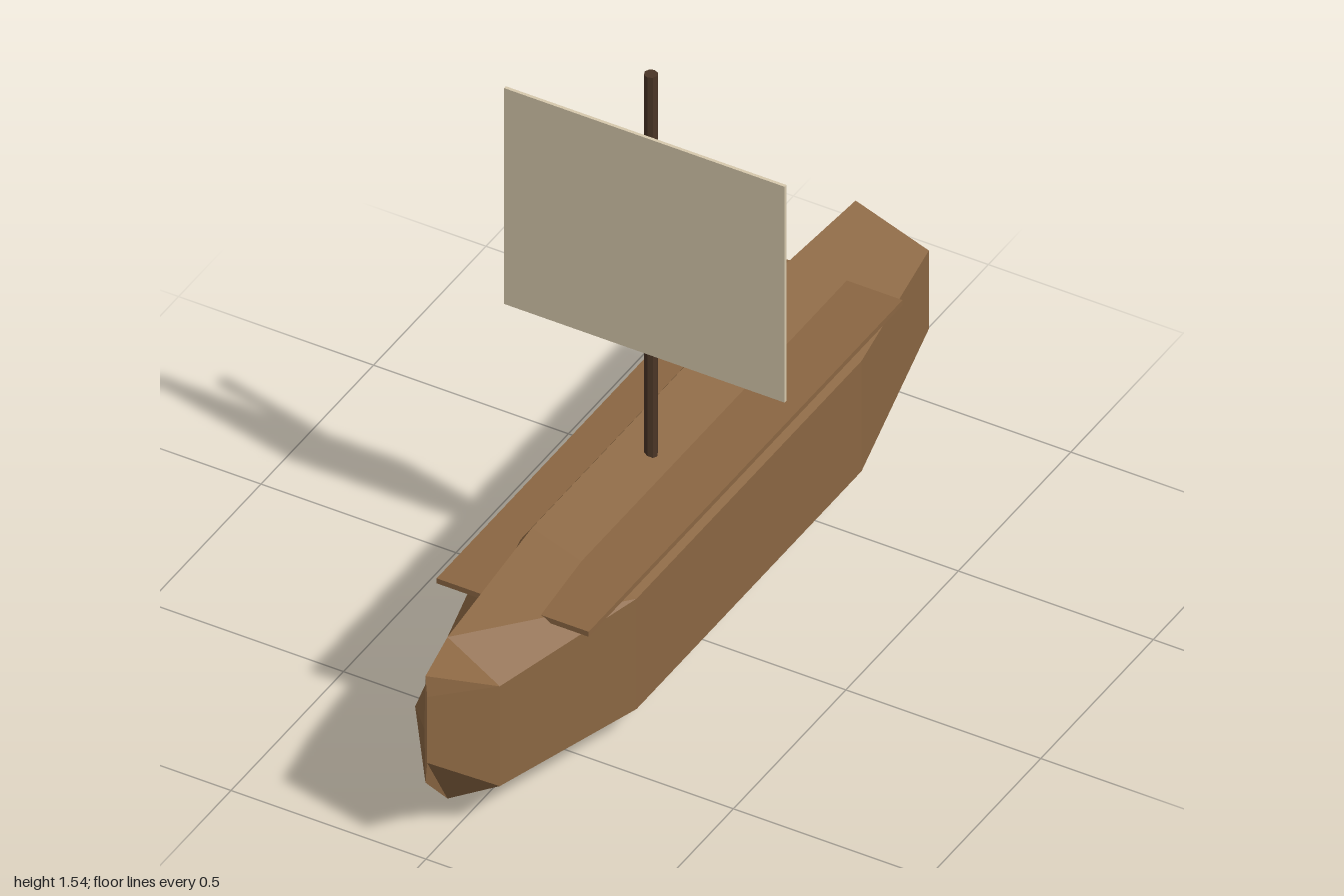
import * as THREE from 'three';

const mat = (name, color, extra = {}) => {
  const m = new THREE.MeshStandardMaterial({ color, ...extra });
  m.name = name;
  return m;
};

// Five-sided hull lofted through stations running from bow to stern
function hullGeometry() {
  const stations = [ // z, centre height, half width, half height
    [1, 0.368, 0.004, 0.157],
    [0.84, 0.28, 0.12, 0.238],
    [0.4, 0.255, 0.24, 0.263],
    [-0.6, 0.255, 0.24, 0.263],
    [-1, 0.32, 0.168, 0.187],
  ];
  const sides = 5, pos = [];
  const point = (i, j) => {
    const [z, y, rx, ry] = stations[i];
    const a = Math.PI / 5 + (j * Math.PI * 2) / sides;
    return [rx * Math.cos(a), y + ry * Math.sin(a), z];
  };
  const centre = (i) => [0, stations[i][1], stations[i][0]];
  const last = stations.length - 1;
  for (let j = 0; j < sides; j++) {
    for (let i = 0; i < last; i++) {
      const a = point(i, j), b = point(i + 1, j);
      const c = point(i, j + 1), d = point(i + 1, j + 1);
      pos.push(...a, ...b, ...c, ...c, ...b, ...d);
    }
    pos.push(...centre(0), ...point(0, j), ...point(0, j + 1));
    pos.push(...centre(last), ...point(last, j + 1), ...point(last, j));
  }
  const g = new THREE.BufferGeometry();
  g.setAttribute('position', new THREE.Float32BufferAttribute(pos, 3));
  g.computeVertexNormals();
  return g;
}

export function createModel() {
  const boat = new THREE.Group();
  boat.name = 'sailingBoat';
  const wood = mat('hull wood', 0x8a6642);
  const darkWood = mat('dark mast wood', 0x4a3526);
  const cloth = mat('sail cloth', 0xd6c8ac);

  const add = (name, geometry, material, x, y, z) => {
    const mesh = new THREE.Mesh(geometry, material);
    mesh.name = name;
    mesh.position.set(x, y, z);
    boat.add(mesh);
  };

  add('hull', hullGeometry(), wood, 0, 0, 0);
  // Flat deck board poking out through both flanks of the hull
  add('deck', new THREE.BoxGeometry(0.39, 0.014, 1.395), wood, 0, 0.453, -0.083);
  // Mast, stepped into the hull
  const mast = new THREE.CylinderGeometry(0.016, 0.016, 1.1, 8).toNonIndexed();
  mast.computeVertexNormals();
  add('mast', mast, darkWood, 0, 0.99, 0);
  // Square sail hung just ahead of the mast
  add('sail', new THREE.BoxGeometry(0.72, 0.605, 0.008), cloth, 0, 1.078, 0.025);
  return boat;
}
